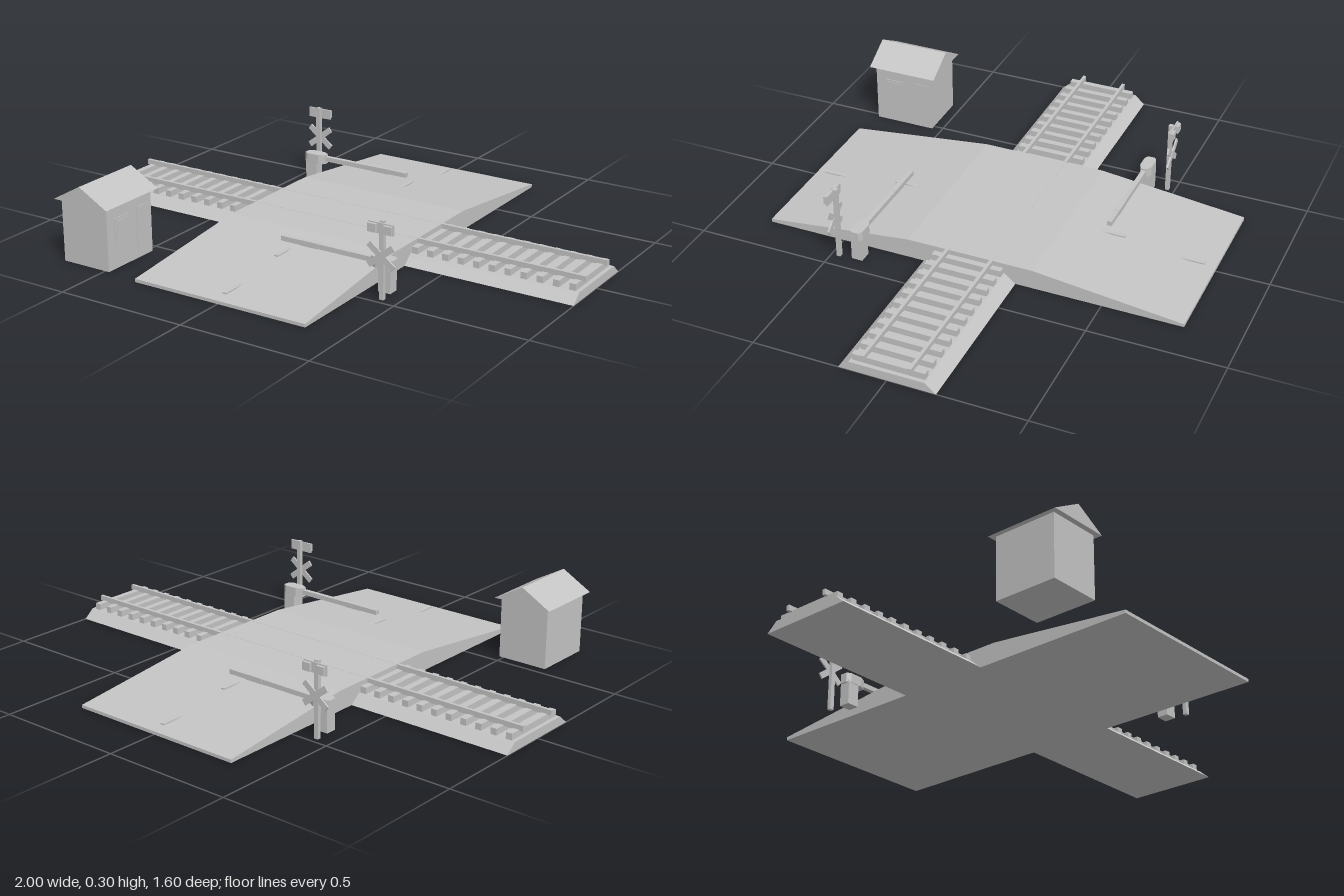
import * as THREE from 'three';

const grey = new THREE.MeshStandardMaterial({ color: 0xc4c4c4, flatShading: true });
grey.name = 'plain grey';

function add(parent, name, geometry, x = 0, y = 0, z = 0) {
  const mesh = new THREE.Mesh(geometry, grey);
  mesh.name = name;
  mesh.position.set(x, y, z);
  parent.add(mesh);
  return mesh;
}

// Box given by its size, its centre in x and z, and its bottom
function box(parent, name, w, h, d, x, y, z) {
  return add(parent, name, new THREE.BoxGeometry(w, h, d), x, y + h / 2, z);
}

// Outline extruded along z, centred on its own depth
function extrude(points, depth) {
  const shape = new THREE.Shape(points.map(([x, y]) => new THREE.Vector2(x, y)));
  return new THREE.ExtrudeGeometry(shape, { depth, bevelEnabled: false }).translate(0, 0, -depth / 2);
}

function buildTrack() {
  const track = new THREE.Group();
  track.name = 'track';
  add(track, 'ballast', extrude([[-0.178, 0], [0.178, 0], [0.138, 0.034], [-0.138, 0.034]], 2).rotateY(Math.PI / 2));
  for (let i = 0; i < 33; i++) {
    const x = -0.973 + i * 0.0608;
    if (Math.abs(x) > 0.34) box(track, 'sleeper', 0.024, 0.026, 0.266, x, 0.032, 0);
  }
  for (const z of [-0.085, 0.085]) box(track, 'rail', 2, 0.02, 0.012, 0, 0.055, z);
  return track;
}

function buildRoad() {
  const road = new THREE.Group();
  road.name = 'road';
  const profile = [[-0.8, 0], [0.8, 0], [0.8, 0.012], [0.24, 0.0745], [-0.24, 0.0745], [-0.8, 0.012]];
  add(road, 'roadRamp', extrude(profile, 0.7).rotateY(Math.PI / 2));
  // Level centre dashes whose outer ends stand out of the slope
  for (const s of [-1, 1]) {
    box(road, 'centreDash', 0.016, 0.005, 0.11, 0, 0.022, s * 0.705);
    box(road, 'centreDash', 0.016, 0.005, 0.11, 0, 0.055, s * 0.405);
  }
  return road;
}

function buildHut() {
  const hut = new THREE.Group();
  hut.name = 'hut';
  hut.position.set(-0.582, 0, 0.66);
  box(hut, 'hutWalls', 0.2, 0.235, 0.24, 0, 0, 0);
  add(hut, 'hutRoof', extrude([[-0.118, 0.234], [0.118, 0.234], [0, 0.3]], 0.28));
  box(hut, 'windowFrame', 0.005, 0.085, 0.08, 0.1, 0.1, 0.04);
  box(hut, 'windowPane', 0.008, 0.065, 0.06, 0.1, 0.11, 0.04);
  box(hut, 'hutDoor', 0.004, 0.19, 0.07, 0.1, 0.001, -0.075);
  return hut;
}

// Barrier and warning sign for the front lane; the back one is turned half round
function buildGuard() {
  const guard = new THREE.Group();
  guard.name = 'crossingGuard';
  box(guard, 'barrierPost', 0.048, 0.092, 0.042, 0.415, 0, 0.4);
  const head = [[0.355, -0.01], [0.38, -0.023], [0.43, -0.023], [0.446, -0.014],
    [0.446, 0.014], [0.43, 0.023], [0.38, 0.023], [0.355, 0.01]];
  add(guard, 'barrierHead', extrude(head, 0.036).rotateX(Math.PI / 2), 0, 0.102, 0.4);
  box(guard, 'barrierArm', 0.375, 0.018, 0.018, 0.175, 0.095, 0.4);
  box(guard, 'armBand', 0.072, 0.02, 0.02, 0.102, 0.094, 0.4);

  const x = 0.438;
  box(guard, 'signPole', 0.017, 0.282, 0.015, x, 0, 0.471);
  // Crossed boards
  for (const s of [-1, 1]) {
    const board = add(guard, 'crossBoard', new THREE.BoxGeometry(0.122, 0.023, 0.006), x, 0.158, 0.481 + s * 0.001);
    board.rotation.z = s * 0.66;
  }
  box(guard, 'lampPlate', 0.098, 0.038, 0.006, x, 0.238, 0.481);
  for (const s of [-1, 1]) box(guard, 'lamp', 0.032, 0.03, 0.012, x + s * 0.03, 0.242, 0.489);
  return guard;
}

export function createModel() {
  const model = new THREE.Group();
  model.name = 'levelCrossing';
  model.add(buildTrack(), buildRoad(), buildHut());
  for (const turn of [0, Math.PI]) {
    const guard = buildGuard();
    guard.rotation.y = turn;
    model.add(guard);
  }
  return model;
}
